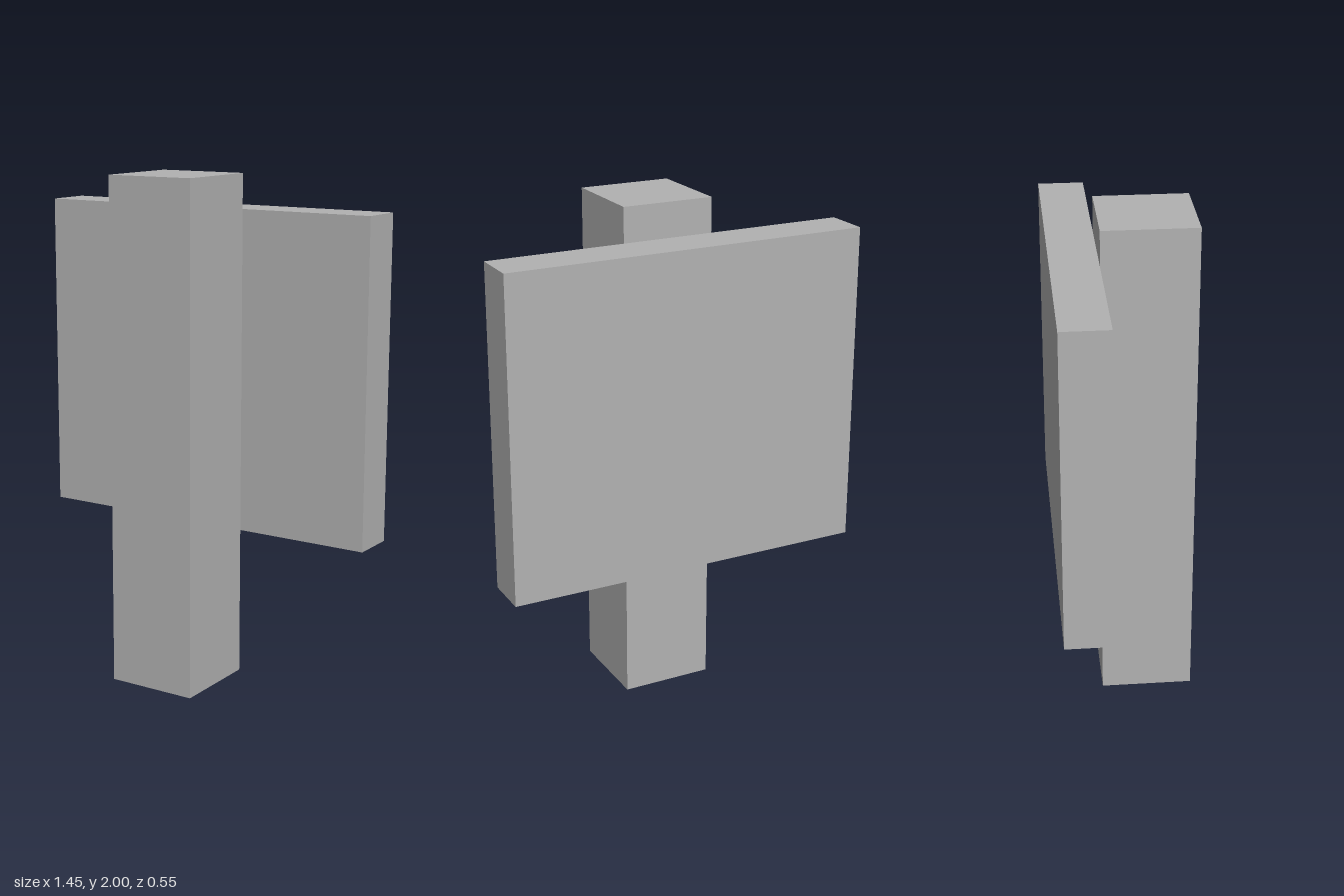
import * as THREE from 'three';

const grey = new THREE.MeshStandardMaterial({ name: 'grey', color: 0xb2b2b2 });

// Box given by its lower and upper corners
function box(name, min, max) {
  const size = max.map((v, i) => v - min[i]);
  const mesh = new THREE.Mesh(new THREE.BoxGeometry(...size), grey);
  mesh.name = name;
  mesh.position.set(...max.map((v, i) => (v + min[i]) / 2));
  return mesh;
}

export function createModel() {
  const model = new THREE.Group();
  model.name = 'signpost';
  // Square post standing on the ground
  model.add(box('post', [-0.182, 0, -0.091], [0.182, 2, 0.273]));
  // Wide board fixed to the back of the post
  model.add(box('board', [-0.727, 0.591, -0.273], [0.727, 1.864, -0.091]));
  return model;
}
